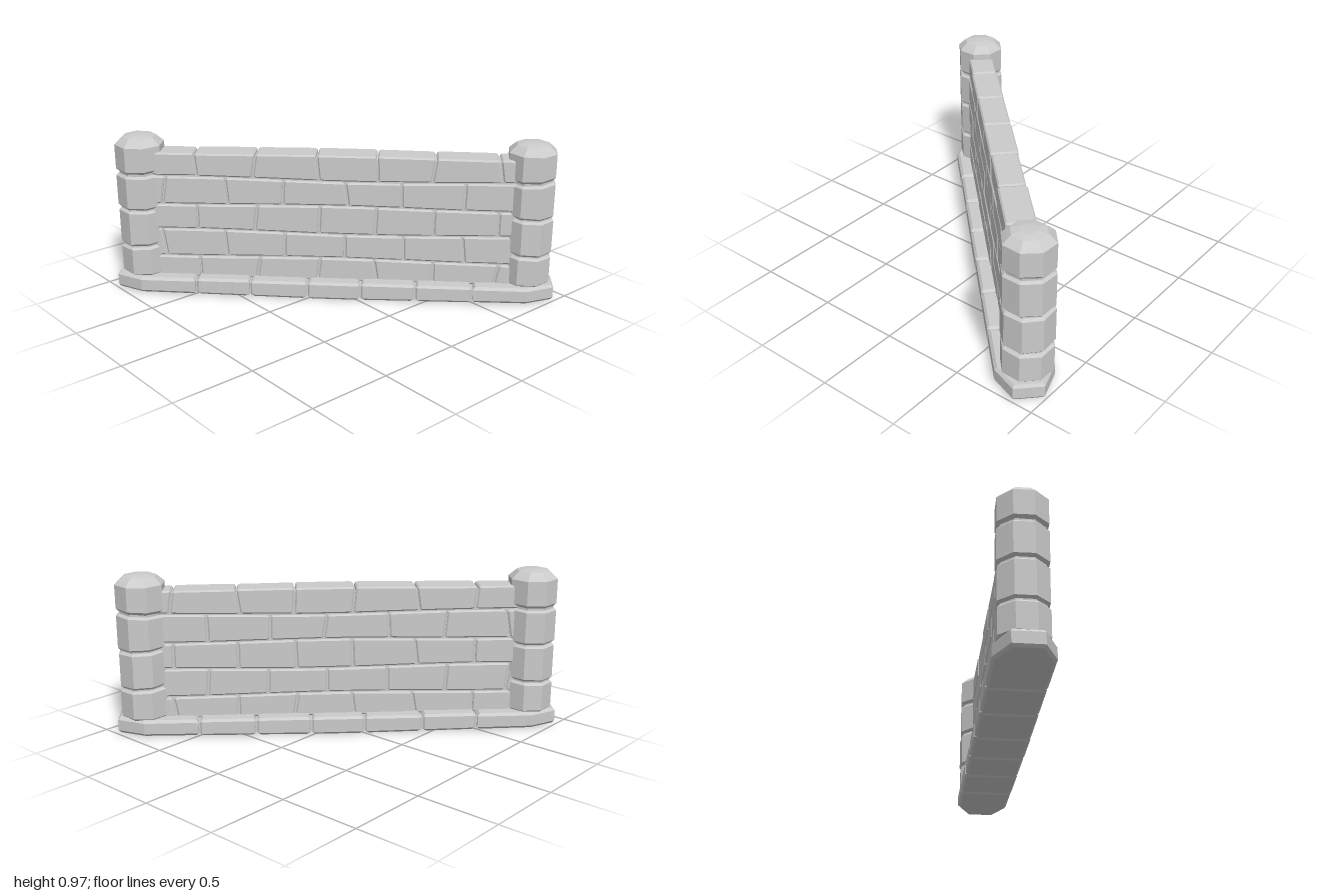
import * as THREE from 'three';
import { ConvexGeometry } from 'three/addons/geometries/ConvexGeometry.js';

const material = new THREE.MeshStandardMaterial({ color: 0xcccccc, flatShading: true });

// small repeatable noise in -1..1
let seed = 7;
function jitter(amount) {
  seed = (seed * 16807) % 2147483647;
  return ((seed / 2147483647) * 2 - 1) * amount;
}

// pull a footprint [x, z] towards its middle by a fixed distance per axis
function inset(poly, d) {
  const cx = poly.reduce((s, p) => s + p[0], 0) / poly.length;
  const cz = poly.reduce((s, p) => s + p[1], 0) / poly.length;
  const hx = Math.max(...poly.map(p => Math.abs(p[0] - cx)));
  const hz = Math.max(...poly.map(p => Math.abs(p[1] - cz)));
  return poly.map(([x, z]) => [cx + (x - cx) * (1 - d / hx), cz + (z - cz) * (1 - d / hz)]);
}

// bevelled stone between two footprints; bottom and top are heights as functions of x
function stone(name, low, high, bottom, top, bevel, extra = []) {
  const pts = [...extra];
  const ring = (poly, height, lift) => poly.forEach(([x, z]) => pts.push(new THREE.Vector3(x, height(x) + lift, z)));
  ring(inset(low, bevel), bottom, 0);
  ring(low, bottom, bevel);
  ring(high, top, -bevel);
  ring(inset(high, bevel), top, 0);
  const mesh = new THREE.Mesh(new ConvexGeometry(pts), material);
  mesh.name = name;
  return mesh;
}

// rectangle with cut corners
function cutRect(x0, x1, halfDepth, c) {
  const d = halfDepth;
  return [[x0 + c, -d], [x1 - c, -d], [x1, -d + c], [x1, d - c], [x1 - c, d], [x0 + c, d], [x0, d - c], [x0, -d + c]];
}

function box(name, w, h, d, y) {
  const mesh = new THREE.Mesh(new THREE.BoxGeometry(w, h, d), material);
  mesh.name = name;
  mesh.position.y = y;
  return mesh;
}

// plinth of slabs with pointed ends
function buildPlinth() {
  const plinth = new THREE.Group();
  plinth.name = 'plinth';
  const joints = [-0.83, -0.5, -0.15, 0.17, 0.5, 0.84];
  const bottom = x => 0.012 * Math.min(1, Math.abs(x) / 1.1);
  const gap = 0.005;
  for (let i = 0; i < joints.length - 1; i++) {
    const poly = cutRect(joints[i] + gap, joints[i + 1] - gap, 0.163 + jitter(0.002), 0.01);
    const y = 0.11 + jitter(0.002);
    plinth.add(stone('plinthSlab', poly, poly, bottom, () => y, 0.014));
  }
  for (const s of [-1, 1]) {
    const x = s < 0 ? -0.83 : 0.84;
    const poly = [[x + s * gap, -0.163], [s * 1.167, -0.163], [s * 1.329, -0.085],
      [s * 1.329, 0.085], [s * 1.167, 0.163], [x + s * gap, 0.163]];
    plinth.add(stone('plinthEnd', poly, poly, bottom, () => 0.11, 0.016));
  }
  plinth.add(box('plinthCore', 2.2, 0.07, 0.29, 0.055));
  return plinth;
}

// five courses of bricks in running bond around a solid core
function buildWall() {
  const wall = new THREE.Group();
  wall.name = 'wall';
  const bond = [
    [-1.13, -0.815, -0.46, -0.08, 0.26, 0.6, 0.98, 1.13],
    [-1.13, -1.02, -0.645, -0.29, 0.075, 0.415, 0.78, 1.13],
  ];
  const levels = [0.09, 0.235, 0.4, 0.57, 0.735, 0.886];
  // gently wavy bed joints
  const waves = levels.map((y, i) => x => y + (i === 0 ? 0 : i === 5 ? 0.004 : 0.007) * Math.cos(x * 3.1 + (i % 2 ? 0 : 2.6)));
  for (let row = 0; row < 5; row++) {
    const joints = bond[row % 2].map(x => x + jitter(0.01));
    const leans = joints.map(() => jitter(0.012));
    for (let i = 0; i < joints.length - 1; i++) {
      const depth = 0.08 + jitter(0.003);
      const footprint = s => cutRect(joints[i] + s * leans[i] + 0.005, joints[i + 1] + s * leans[i + 1] - 0.005, depth, 0.009);
      wall.add(stone('brick', footprint(-1), footprint(1),
        x => waves[row](x) + 0.004, x => waves[row + 1](x) - (row < 4 ? 0.004 : 0), 0.009));
    }
  }
  wall.add(box('wallCore', 2.26, 0.78, 0.135, 0.475));
  return wall;
}

// octagonal pillar of stacked drums with a low domed top
function buildPillar(x, z) {
  const pillar = new THREE.Group();
  pillar.name = 'pillar';
  const levels = [0.1, 0.295, 0.527, 0.748, 0.945];
  const octagon = (r, turn) => Array.from({ length: 8 }, (_, i) => {
    const a = (i + 0.5) * Math.PI / 4 + turn;
    return [r * Math.cos(a), r * Math.sin(a)];
  });
  const tilts = levels.map((_, i) => (i ? jitter(0.05) : 0));
  for (let i = 0; i < 4; i++) {
    const turn = jitter(0.06);
    const poly = octagon(0.148 + jitter(0.002), turn);
    const dome = [];
    if (i === 3) {
      for (const [r, y] of [[0.1, 0.964], [0.05, 0.973]]) {
        octagon(r, turn).forEach(p => dome.push(new THREE.Vector3(p[0], y, p[1])));
      }
      dome.push(new THREE.Vector3(0, 0.975, 0));
    }
    pillar.add(stone(i < 3 ? 'pillarDrum' : 'pillarCap', poly, poly,
      px => levels[i] + 0.005 + tilts[i] * px,
      px => levels[i + 1] - 0.005 + (i < 3 ? tilts[i + 1] * px : 0), i < 3 ? 0.013 : 0.02, dome));
  }
  const core = new THREE.Mesh(new THREE.CylinderGeometry(0.13, 0.13, 0.75, 8), material);
  core.name = 'pillarCore';
  core.rotation.y = Math.PI / 8;
  core.position.y = 0.5;
  pillar.add(core);
  pillar.position.set(x, 0, z);
  return pillar;
}

export function createModel() {
  seed = 7;
  const model = new THREE.Group();
  model.name = 'stoneWall';
  const run = new THREE.Group();
  run.name = 'wallSection';
  run.add(buildPlinth(), buildWall(), buildPillar(-1.167, -0.008), buildPillar(1.165, -0.012));
  // the wall runs diagonally
  run.rotation.y = Math.PI / 4;
  model.add(run);
  return model;
}
